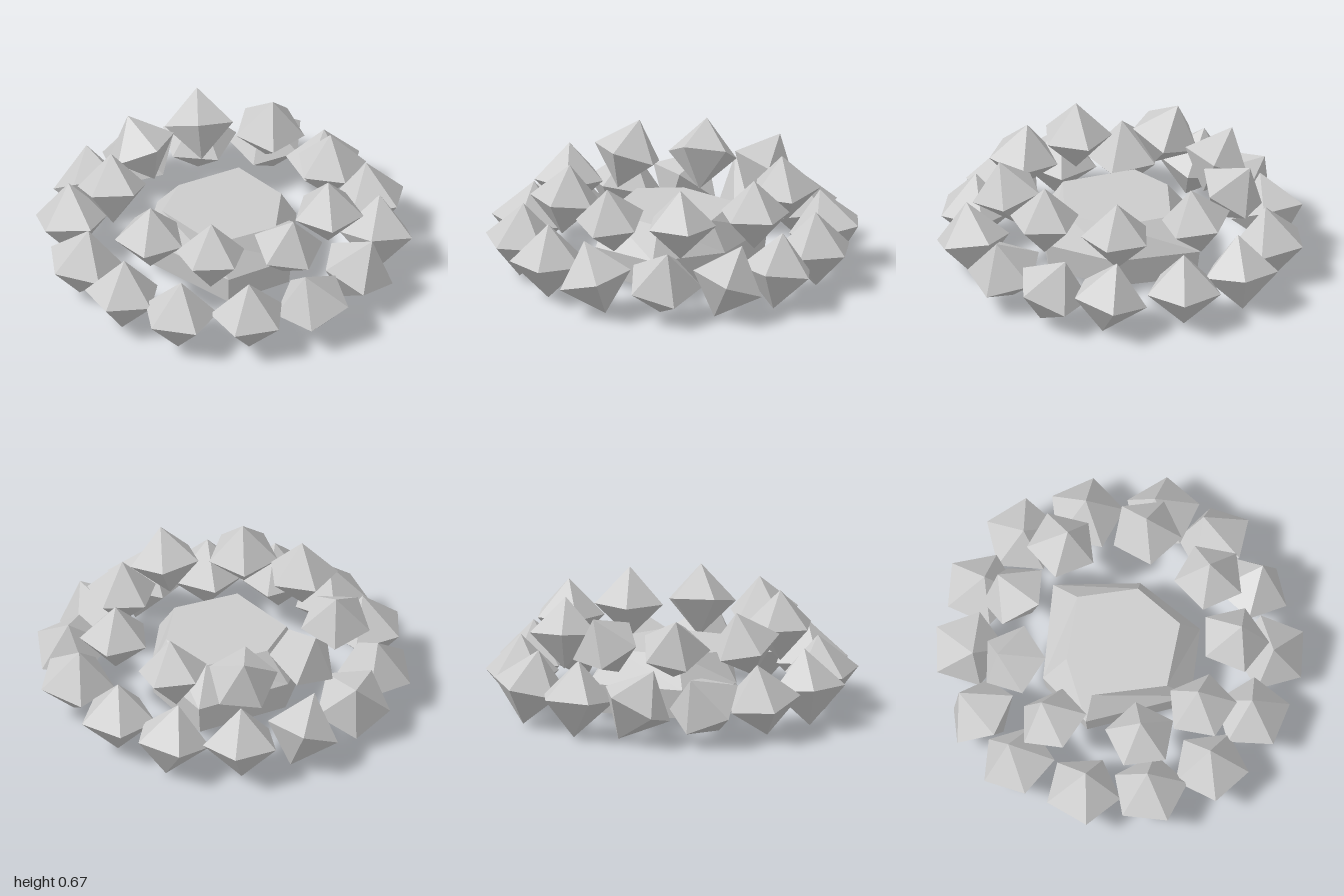
import * as THREE from 'three';

const stoneGrey = new THREE.MeshStandardMaterial({ color: 0xcccccc });
stoneGrey.name = 'pale stone grey';

// Each stone: x, z, sideways lean of its axis in x and z, direction of one corner in degrees
const lowerStones = [
  [-0.57, -0.6, 0.1, -0.22, -115], [-0.28, -0.77, 0.3, -0.55, 90],
  [0.09, -0.81, -0.45, 0.08, 18], [0.43, -0.71, -0.05, 0.08, 172],
  [0.71, -0.46, -0.2, 0, 9], [0.81, -0.11, 0, 0, 16],
  [0.78, 0.3, 0.05, -0.18, -60], [0.61, 0.57, 0.28, -0.25, 70],
  [0.31, 0.75, 0.25, 0.3, -23], [-0.07, 0.82, -0.28, 0.05, -11],
  [-0.41, 0.69, 0, 0, 80], [-0.69, 0.44, 0.05, 0, 105],
  [-0.8, 0.1, 0.08, -0.05, 85], [-0.77, -0.26, 0.08, 0.08, 180],
];
const upperStones = [
  [-0.45, -0.4, 0.2, -0.28, 20], [-0.09, -0.58, -0.1, -0.45, 30],
  [0.29, -0.54, 0.3, -0.45, 130], [0.55, -0.26, 0, 0.15, -92],
  [0.59, 0.2, 0, 0, 178], [0.3, 0.52, 0, 0, -92],
  [-0.07, 0.62, 0, 0.22, 95], [-0.44, 0.41, 0.08, -0.08, 90],
  [-0.58, 0.07, 0, 0, -3],
];

// Five-sided double pyramid; one rim corner lies on +x
function stoneGeometry() {
  const points = [];
  const corner = (i) => {
    const a = (i * Math.PI * 2) / 5;
    return [Math.cos(a), 0, Math.sin(a)];
  };
  for (let i = 0; i < 5; i++) {
    points.push(...corner(i), 0, 1, 0, ...corner(i + 1));
    points.push(...corner(i + 1), 0, -1, 0, ...corner(i));
  }
  return flatGeometry(points);
}

function flatGeometry(points) {
  const geometry = new THREE.BufferGeometry();
  geometry.setAttribute('position', new THREE.Float32BufferAttribute(points, 3));
  geometry.computeVertexNormals();
  return geometry;
}

// Ring of leaning stones
function stoneRing(name, list, y, radius, geometry) {
  const ring = new THREE.Group();
  ring.name = name;
  for (const [x, z, leanX, leanZ, degrees] of list) {
    const axis = new THREE.Vector3(leanX, Math.sqrt(1 - leanX ** 2 - leanZ ** 2), leanZ);
    const a = THREE.MathUtils.degToRad(degrees);
    const side = new THREE.Vector3(Math.cos(a), 0, Math.sin(a));
    side.addScaledVector(axis, -side.dot(axis)).normalize();
    const forward = new THREE.Vector3().crossVectors(side, axis);
    const mesh = new THREE.Mesh(geometry, stoneGrey);
    mesh.name = 'stone';
    mesh.quaternion.setFromRotationMatrix(new THREE.Matrix4().makeBasis(side, axis, forward));
    mesh.scale.setScalar(radius);
    mesh.position.set(x, y, z);
    ring.add(mesh);
  }
  return ring;
}

// Uneven six-sided slab with a bevelled top
function centreSlab() {
  const outer = [[-0.11, -0.42], [0.42, -0.32], [0.39, 0.15], [0.1, 0.45], [-0.28, 0.37], [-0.38, -0.21]];
  const inner = [[-0.07, -0.29], [0.28, -0.2], [0.3, 0.13], [0.08, 0.34], [-0.27, 0.24], [-0.29, -0.17]];
  const rings = [
    outer.map(([x, z]) => [x * 0.96, 0.06, z * 0.96]),
    outer.map(([x, z]) => [x, 0.22, z]),
    inner.map(([x, z]) => [x, 0.385, z]),
  ];
  const points = [];
  for (let i = 0; i < 6; i++) {
    const j = (i + 1) % 6;
    for (let k = 0; k < 2; k++) {
      const [a, b, c, d] = [rings[k][i], rings[k][j], rings[k + 1][j], rings[k + 1][i]];
      points.push(...a, ...d, ...c, ...a, ...c, ...b);
    }
    points.push(0, 0.385, 0, ...rings[2][j], ...rings[2][i]);
    points.push(0, 0.06, 0, ...rings[0][i], ...rings[0][j]);
  }
  const mesh = new THREE.Mesh(flatGeometry(points), stoneGrey);
  mesh.name = 'centreSlab';
  return mesh;
}

export function createModel() {
  const model = new THREE.Group();
  model.name = 'stoneCircle';
  const geometry = stoneGeometry();
  model.add(stoneRing('lowerStones', lowerStones, 0.225, 0.21, geometry));
  model.add(stoneRing('upperStones', upperStones, 0.485, 0.195, geometry));
  model.add(centreSlab());
  return model;
}
